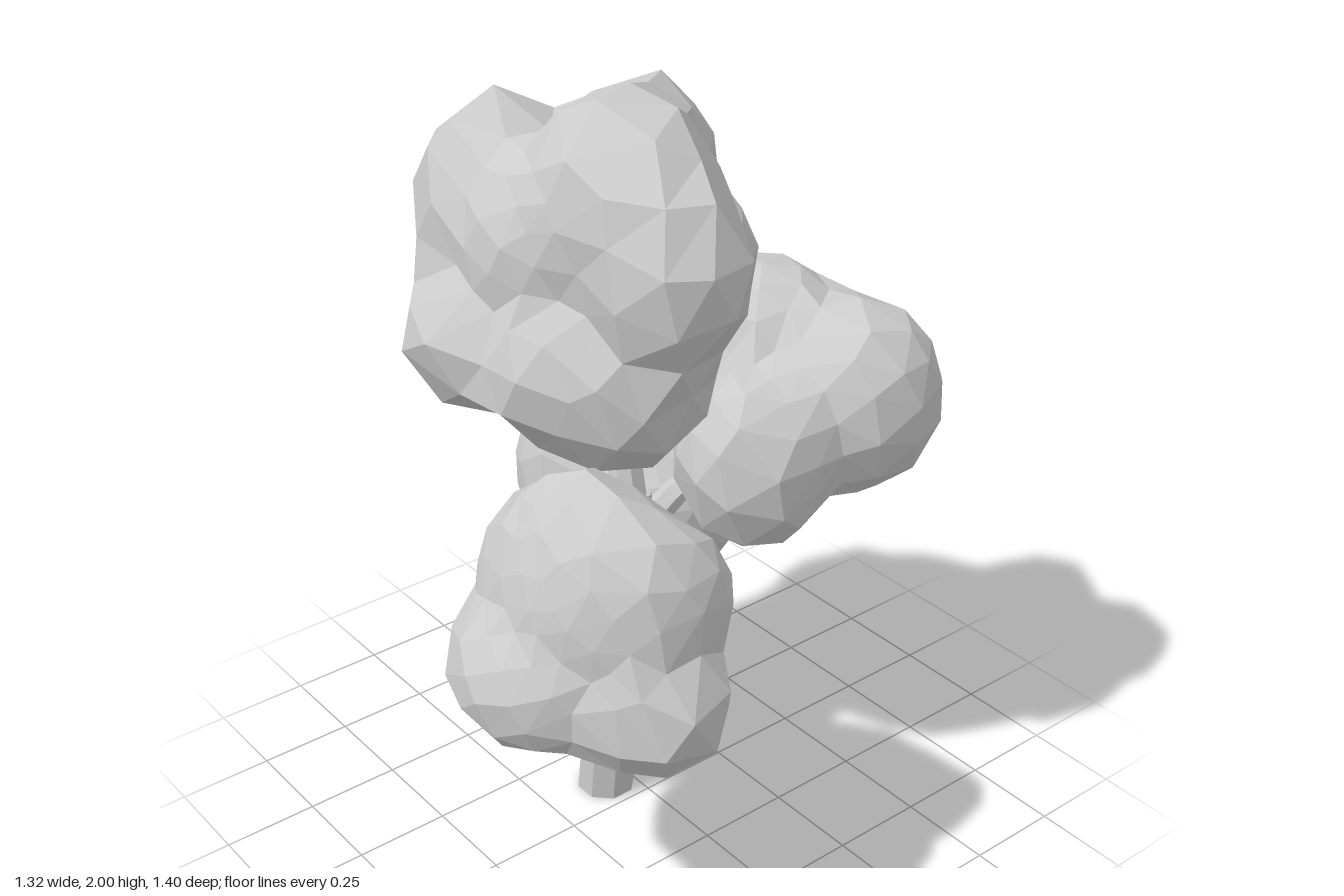
import * as THREE from 'three';

const material = new THREE.MeshStandardMaterial({ color: 0xcccccc, flatShading: true });

// Blended density of a clump's lobes: 1 on the fused outer skin, more inside
function density(p, lobes) {
  let sum = 0;
  for (const [x, y, z, rx, ry, rz] of lobes) {
    const d = Math.hypot((p.x - x) / rx, (p.y - y) / ry, (p.z - z) / rz);
    sum += Math.exp(-16 * (d - 1));
  }
  return sum;
}

// Faceted leaf clump: coarse icosphere shrink-wrapped from outside onto its fused lobes
function foliage(name, [cx, cy, cz], lobes, seed) {
  const geo = new THREE.IcosahedronGeometry(1, 3);
  geo.rotateX(seed * 1.3).rotateY(seed * 2.1);
  const pos = geo.attributes.position;
  const centre = new THREE.Vector3(cx, cy, cz);
  const dir = new THREE.Vector3(), p = new THREE.Vector3();
  for (let i = 0; i < pos.count; i++) {
    dir.fromBufferAttribute(pos, i);
    // Uneven spacing of the facets
    dir.x += 0.07 * Math.sin(9 * dir.y + seed);
    dir.y += 0.07 * Math.sin(8 * dir.z + 2 * seed);
    dir.z += 0.07 * Math.sin(9 * dir.x - seed);
    dir.normalize();
    let t = 0.9;
    do {
      t -= 0.004;
      p.copy(centre).addScaledVector(dir, t);
    } while (t > 0.05 && density(p, lobes) < 1);
    pos.setXYZ(i, p.x, p.y, p.z);
  }
  geo.computeVertexNormals();
  const mesh = new THREE.Mesh(geo, material);
  mesh.name = name;
  return mesh;
}

// Tapered, bent limb: rings along points [x, y, z, radius], closed at both ends
function limb(rings, name, sides = 8) {
  const verts = [], index = [];
  const pts = rings.map(r => new THREE.Vector3(r[0], r[1], r[2]));
  const up = new THREE.Vector3(0, 1, 0);
  rings.forEach((r, i) => {
    const dir = pts[Math.min(i + 1, pts.length - 1)].clone().sub(pts[Math.max(i - 1, 0)]).normalize();
    const turn = new THREE.Quaternion().setFromUnitVectors(up, r[1] === 0 ? up : dir);
    for (let s = 0; s < sides; s++) {
      const a = (s + 0.5) / sides * Math.PI * 2;
      const p = new THREE.Vector3(Math.cos(a) * r[3], 0, Math.sin(a) * r[3]).applyQuaternion(turn).add(pts[i]);
      verts.push(p.x, p.y, p.z);
    }
  });
  for (let i = 0; i < rings.length - 1; i++) {
    for (let s = 0; s < sides; s++) {
      const a = i * sides + s, b = i * sides + (s + 1) % sides;
      index.push(a, a + sides, b, b, a + sides, b + sides);
    }
  }
  const last = (rings.length - 1) * sides;
  for (let s = 1; s < sides - 1; s++) {
    index.push(0, s, s + 1, last, last + s + 1, last + s);
  }
  const geo = new THREE.BufferGeometry();
  geo.setAttribute('position', new THREE.Float32BufferAttribute(verts, 3));
  geo.setIndex(index);
  geo.computeVertexNormals();
  const mesh = new THREE.Mesh(geo, material);
  mesh.name = name;
  return mesh;
}

// Lobes [x, y, z, rx, ry, rz] of each clump
const crown = [
  [-0.36, 1.61, 0.16, 0.21, 0.3, 0.22],
  [0.06, 1.74, 0.11, 0.25, 0.27, 0.21],
  [-0.46, 1.42, 0.08, 0.21, 0.25, 0.22],
  [-0.25, 1.37, 0.29, 0.2, 0.2, 0.22],
  [-0.02, 1.35, 0.24, 0.2, 0.21, 0.2],
  [0.11, 1.35, 0.15, 0.2, 0.25, 0.21],
  [-0.12, 1.73, -0.07, 0.18, 0.24, 0.19],
  [-0.02, 1.54, -0.1, 0.22, 0.19, 0.18],
  [0.26, 1.64, 0.12, 0.17, 0.24, 0.18],
  [-0.14, 1.61, 0.19, 0.25, 0.23, 0.2],
];
const front = [
  [0.24, 0.9, 0.38, 0.31, 0.28, 0.21],
  [0.3, 1.0, 0.38, 0.26, 0.24, 0.16],
  [0.21, 0.74, 0.5, 0.24, 0.19, 0.2],
  [0.5, 0.74, 0.36, 0.17, 0.17, 0.17],
  [0.43, 0.95, 0.31, 0.16, 0.22, 0.18],
  [0.4, 0.69, 0.38, 0.17, 0.15, 0.17],
  [0.22, 0.82, 0.24, 0.19, 0.21, 0.19],
];
const back = [
  [0.21, 1.14, -0.48, 0.23, 0.26, 0.23],
  [-0.02, 1.22, -0.39, 0.21, 0.23, 0.2],
  [-0.16, 1.17, -0.31, 0.18, 0.2, 0.19],
  [0.16, 1.03, -0.2, 0.2, 0.24, 0.2],
  [0.0, 0.97, -0.36, 0.22, 0.22, 0.21],
];
const side = [
  [-0.22, 0.6, -0.03, 0.22, 0.23, 0.2],
  [-0.38, 0.75, -0.33, 0.2, 0.24, 0.22],
  [-0.15, 0.82, -0.17, 0.22, 0.25, 0.22],
  [-0.4, 0.8, -0.11, 0.18, 0.27, 0.2],
  [-0.24, 1.02, -0.22, 0.18, 0.19, 0.2],
];

export function createModel() {
  const tree = new THREE.Group();
  tree.name = 'tree';

  // Trunk and branches
  tree.add(
    limb([[-0.095, 0, 0.07, 0.078], [-0.06, 0.3, 0.075, 0.074], [0, 0.62, 0.055, 0.056],
      [-0.005, 0.78, 0.035, 0.048], [-0.03, 0.92, 0.02, 0.045]], 'trunk'),
    limb([[-0.02, 0.86, 0.025, 0.042], [-0.1, 1.02, 0.02, 0.038], [-0.18, 1.3, 0.06, 0.028]], 'crownBranchRight', 6),
    limb([[-0.03, 0.88, 0.02, 0.038], [-0.07, 1.1, 0.02, 0.036], [-0.06, 1.45, 0.03, 0.028]], 'crownBranchLeft', 6),
    limb([[-0.01, 0.58, 0.06, 0.04], [0.06, 0.69, 0.14, 0.036], [0.2, 0.82, 0.3, 0.024]], 'frontBranch', 6),
    limb([[-0.02, 0.8, 0.035, 0.04], [0.03, 0.92, -0.06, 0.034], [0.08, 1.06, -0.28, 0.022]], 'backBranch', 6),
    limb([[-0.01, 0.55, 0.06, 0.04], [-0.08, 0.66, 0, 0.034], [-0.25, 0.8, -0.15, 0.022]], 'sideBranch', 6),
  );

  // Foliage
  tree.add(
    foliage('crownFoliage', [-0.08, 1.55, 0.1], crown, 1),
    foliage('frontFoliage', [0.27, 0.86, 0.38], front, 2),
    foliage('backFoliage', [0.06, 1.12, -0.37], back, 3),
    foliage('sideFoliage', [-0.27, 0.77, -0.17], side, 4),
  );
  return tree;
}
